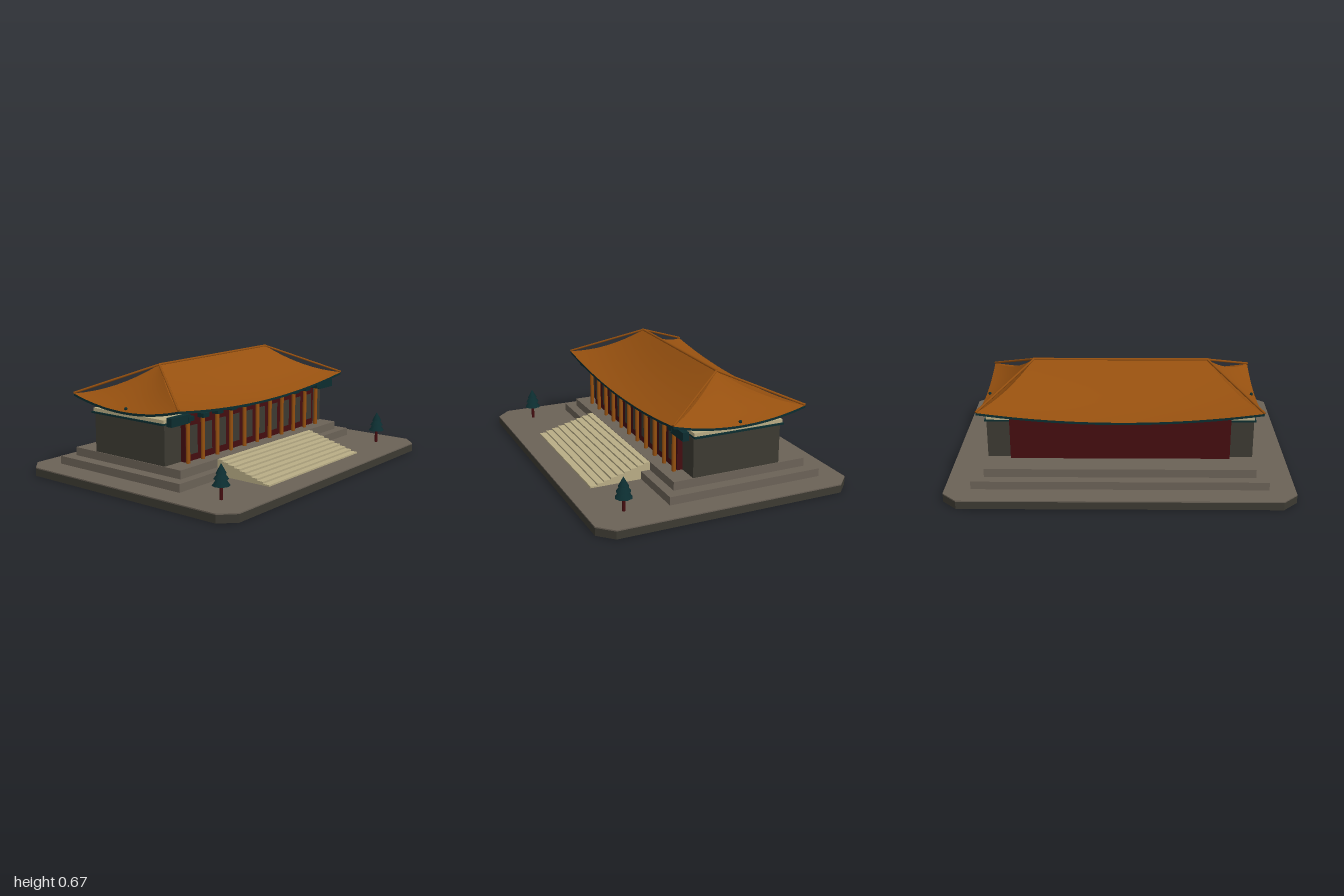
import * as THREE from 'three';

const mat = (name, color, side = THREE.FrontSide) => {
  const m = new THREE.MeshStandardMaterial({ color, side });
  m.name = name;
  return m;
};

export function createModel() {
  const root = new THREE.Group();
  root.name = 'hall';
  const stone = mat('stone', 0x6b6257);
  const dark = mat('darkStone', 0x3c3a32);
  const beige = mat('paleStone', 0xb9ad86);
  const red = mat('redPaint', 0x450d10);
  const orange = mat('orangeTile', 0x96500f, THREE.DoubleSide);
  const teal = mat('teal', 0x0c2d30, THREE.DoubleSide);

  const add = (name, geo, material, x = 0, y = 0, z = 0, parent = root) => {
    const m = new THREE.Mesh(geo, material);
    m.name = name;
    m.position.set(x, y, z);
    parent.add(m);
    return m;
  };
  // Box given by its limits on each axis
  const box = (name, material, x0, x1, y0, y1, z0, z1) =>
    add(name, new THREE.BoxGeometry(x1 - x0, y1 - y0, z1 - z0), material,
      (x0 + x1) / 2, (y0 + y1) / 2, (z0 + z1) / 2);
  // Straight bar between two points
  const bar = (name, material, a, b, r) => {
    const d = b.clone().sub(a);
    const m = add(name, new THREE.CylinderGeometry(r, r, d.length(), 6), material);
    m.position.copy(a).addScaledVector(d, 0.5);
    m.quaternion.setFromUnitVectors(new THREE.Vector3(0, 1, 0), d.normalize());
  };
  // Curved sheet from f(u, t), with u in -1..1 and t in 0..1
  const sheet = (f, nu, nt) => {
    const pos = [], idx = [];
    for (let j = 0; j <= nt; j++)
      for (let i = 0; i <= nu; i++) pos.push(...f(-1 + 2 * i / nu, j / nt));
    for (let j = 0; j < nt; j++)
      for (let i = 0; i < nu; i++) {
        const a = j * (nu + 1) + i, c = a + nu + 1;
        idx.push(a, c, a + 1, a + 1, c, c + 1);
      }
    const g = new THREE.BufferGeometry();
    g.setAttribute('position', new THREE.Float32BufferAttribute(pos, 3));
    g.setIndex(idx);
    g.computeVertexNormals();
    return g;
  };

  // Ground slab with cut corners
  const slab = (name, material, y0, y1) => {
    const X = 1, Z = 0.772, c = 0.085;
    const s = new THREE.Shape([[X, Z - c], [X - c, Z], [c - X, Z], [-X, Z - c],
      [-X, c - Z], [c - X, -Z], [X - c, -Z], [X, c - Z]].map(p => new THREE.Vector2(...p)));
    const g = new THREE.ExtrudeGeometry(s, { depth: y1 - y0, bevelEnabled: false });
    add(name, g.rotateX(-Math.PI / 2), material, 0, y0, 0);
  };
  slab('groundSlab', dark, 0, 0.045);
  slab('groundPaving', stone, 0.045, 0.052);

  // Terraces
  box('lowerTerrace', stone, -0.85, 0.85, 0.05, 0.1, -0.635, 0.315);
  box('upperTerrace', stone, -0.78, 0.78, 0.1, 0.15, -0.575, 0.26);

  // Front staircase
  const steps = 9;
  for (let i = 0; i < steps; i++) {
    const z0 = 0.255 + i * 0.041;
    box('step', beige, -0.463, 0.463, 0.05, 0.148 - i * 0.0108, z0, z0 + 0.041);
  }

  // Walls, ceiling and side beams
  box('hallBody', dark, -0.775, 0.775, 0.15, 0.38, -0.405, 0.14);
  box('frontWall', red, -0.64, 0.64, 0.15, 0.42, 0.14, 0.172);
  box('backWall', red, -0.64, 0.64, 0.15, 0.42, -0.43, -0.405);
  box('sideBeams', teal, -0.785, 0.785, 0.38, 0.39, -0.425, 0.138);
  box('ceiling', beige, -0.775, 0.775, 0.39, 0.41, -0.42, 0.135);

  // Front colonnade with brackets, and windows in the bays
  const bays = 10, pitch = 0.128;
  for (let i = 0; i <= bays; i++) {
    const x = (i - bays / 2) * pitch;
    add('column', new THREE.CylinderGeometry(0.012, 0.012, 0.25, 12), orange, x, 0.275, 0.193);
    box('bracket', teal, x - 0.026, x + 0.026, 0.395, 0.42, 0.175, 0.22);
    if (i < bays) {
      const c = x + pitch / 2;
      box('window', dark, c - 0.037, c + 0.037, 0.19, 0.355, 0.17, 0.177);
    }
  }
  for (const s of [-1, 1])
    box('endBeam', teal, s < 0 ? -0.8 : 0.645, s < 0 ? -0.645 : 0.8, 0.385, 0.435, 0.182, 0.218);

  // Hipped roof: sagging slopes and eaves that rise to the corners
  const RX = 0.515, EX = 0.81, RY = 0.66, ZC = -0.133, D = 0.412, SAG = 0.034;
  const eave = u => 0.428 + 0.057 * u * u;
  const height = (u, t) => RY + (eave(u) - RY) * t - 4 * SAG * t * (1 - t);
  for (const s of [-1, 1]) {
    const long = (u, t, dy = 0) =>
      [s * u * (RX + (EX - RX) * t), height(u, t) + dy, ZC + s * D * t];
    const short = (u, t, dy = 0) =>
      [s * (RX + (EX - RX) * t), height(u, t) + dy, ZC - s * u * D * t];
    for (const [name, f] of [['longRoof', long], ['endRoof', short]]) {
      add(name + 'Slope', sheet((u, t) => f(u, t), 24, 8), orange);
      add(name + 'EaveEdge', sheet((u, t) => f(u, 1, -0.014 * t), 24, 1), teal);
    }
    // Hip ridges
    for (const k of [-1, 1])
      bar('hipRidge', orange, new THREE.Vector3(s * RX, RY, ZC),
        new THREE.Vector3(s * EX, 0.488, ZC + k * D), 0.007);
    // Eave knob
    add('eaveKnob', new THREE.SphereGeometry(0.01, 8, 6), teal, s * 0.787, 0.441, -0.14);
  }
  bar('mainRidge', orange, new THREE.Vector3(-RX - 0.006, RY, ZC),
    new THREE.Vector3(RX + 0.006, RY, ZC), 0.008);

  // Trees
  for (const s of [-1, 1]) {
    const tree = new THREE.Group();
    tree.name = 'tree';
    tree.position.set(s * 0.805, 0.05, 0.565);
    root.add(tree);
    add('trunk', new THREE.CylinderGeometry(0.008, 0.01, 0.1, 8), red, 0, 0.05, 0, tree);
    [[0.05, 0.08, 0.07], [0.042, 0.115, 0.06], [0.03, 0.145, 0.055]].forEach(([r, y, h]) =>
      add('foliage', new THREE.ConeGeometry(r, h, 8), teal, 0, y + h / 2, 0, tree));
  }
  return root;
}
